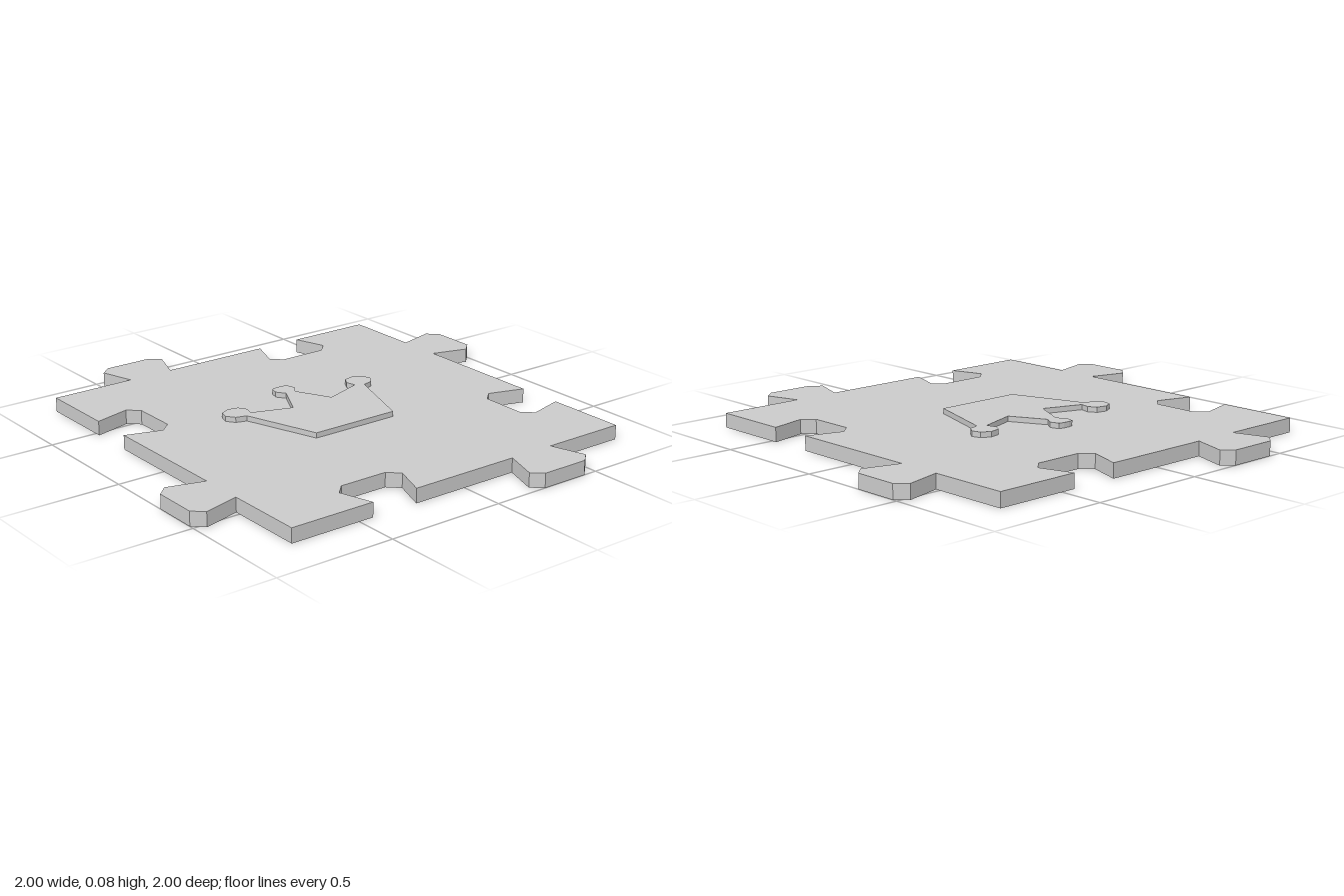
import * as THREE from 'three';

const material = new THREE.MeshStandardMaterial({ color: 0xcccccc, flatShading: true });

// Extrudes an outline of [x, z] points upwards from y = bottom to y = top
function slab(name, points, bottom, top) {
  const shape = new THREE.Shape(points.map(([x, z]) => new THREE.Vector2(x, -z)));
  const geometry = new THREE.ExtrudeGeometry(shape, { depth: top - bottom, bevelEnabled: false });
  geometry.rotateX(-Math.PI / 2).translate(0, bottom, 0);
  const mesh = new THREE.Mesh(geometry, material);
  mesh.name = name;
  return mesh;
}

export function createModel() {
  const group = new THREE.Group();
  group.name = 'puzzlePiece';

  // Back and left-hand (+x) edges; the other two are the same turned half round
  const half = [
    [-0.8, -0.815],
    // back tab
    [-0.44, -0.815], [-0.485, -0.96], [-0.44, -1], [-0.235, -1], [-0.19, -0.96], [-0.24, -0.815],
    // back notch
    [0.235, -0.815], [0.185, -0.675], [0.23, -0.63], [0.437, -0.63], [0.482, -0.675], [0.437, -0.815],
    [0.8, -0.815],
    // side tab
    [0.8, -0.48], [0.955, -0.522], [1, -0.48], [1, -0.29], [0.955, -0.247], [0.8, -0.292],
    // side notch
    [0.8, 0.285], [0.647, 0.238], [0.6, 0.28], [0.6, 0.475], [0.647, 0.517], [0.8, 0.475],
  ];
  const outline = [...half, ...half.map(([x, z]) => [-x, -z])];
  group.add(slab('puzzleBase', outline, 0, 0.06));

  // Raised crown, mirrored about its own centre line
  const centre = -0.03;
  const crownHalf = [
    [0.193, 0.2], [0.3, -0.117],
    // side ball
    [0.345, -0.13], [0.37, -0.165], [0.36, -0.203], [0.32, -0.224], [0.275, -0.215], [0.255, -0.18], [0.265, -0.138],
    // valley, then centre ball
    [0.098, -0.08], [0.022, -0.23], [0.048, -0.268], [0.037, -0.307],  [0.015, -0.312],
  ];
  const crown = [
    ...crownHalf.map(([x, z]) => [centre + x, z]),
    ...crownHalf.map(([x, z]) => [centre - x, z]).reverse(),
  ];
  group.add(slab('raisedCrown', crown, 0.06, 0.082));

  return group;
}
